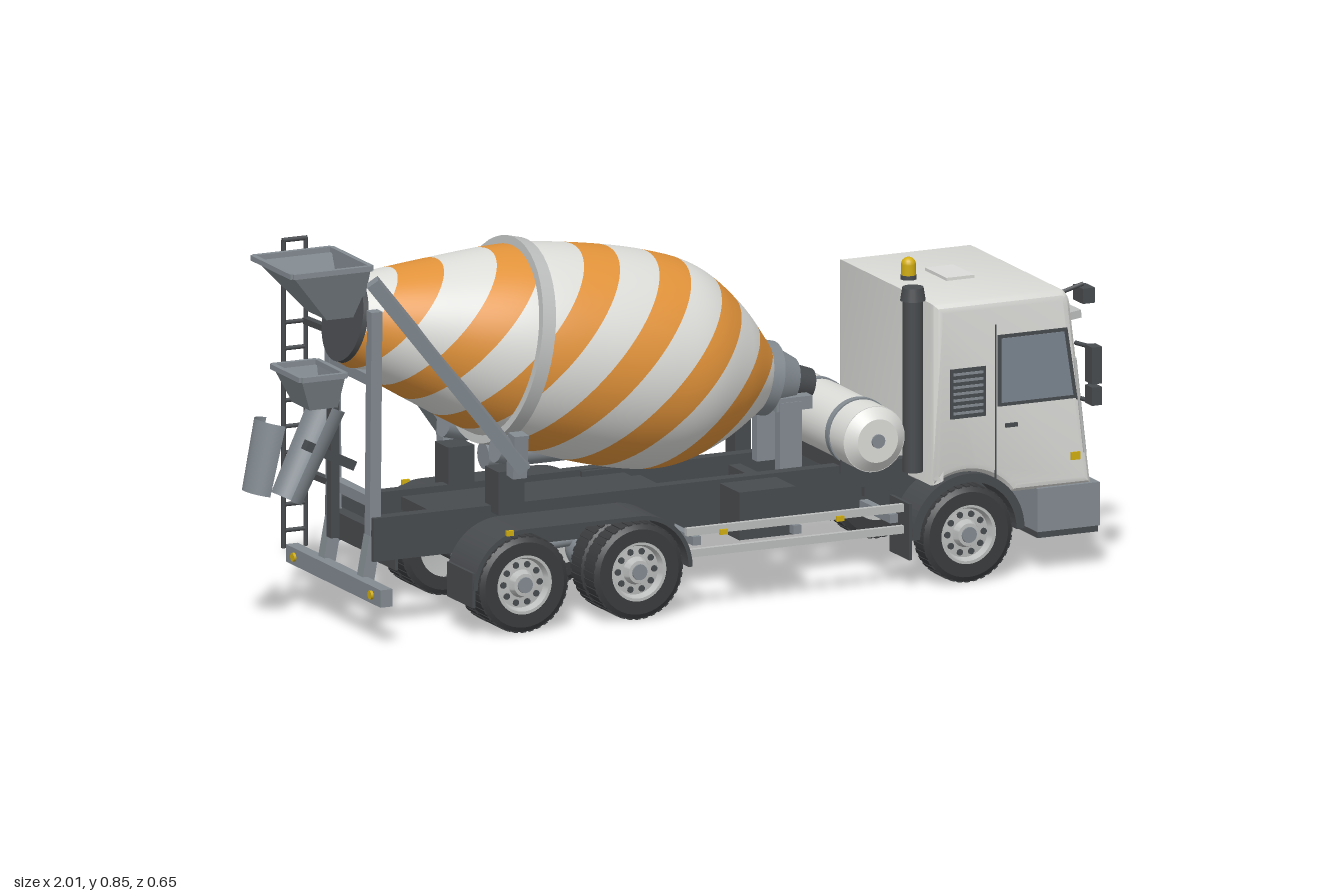
import * as THREE from 'three';
import { mergeGeometries, toCreasedNormals } from 'three/addons/utils/BufferGeometryUtils.js';

const mat = (name, color, side = THREE.FrontSide) => {
  const m = new THREE.MeshStandardMaterial({ color, side });
  m.name = name;
  return m;
};
const V = (x, y, z) => new THREE.Vector3(x, y, z);

export function createModel() {
  const white = mat('white paint', 0xdcdcd9), orange = mat('orange paint', 0xe2933a);
  const tyre = mat('tyre rubber', 0x3a3c3e), dark = mat('dark chassis', 0x484b4e);
  const grey = mat('grey steel', 0x838b91, THREE.DoubleSide), glass = mat('tinted glass', 0x7b8690);
  const yellow = mat('yellow lamp', 0xd2ae10), metal = mat('light metal', 0xbcbebd);
  const root = new THREE.Group();
  root.name = 'concreteMixerTruck';

  const add = (parent, name, geo, m, p = [0, 0, 0]) => {
    const o = new THREE.Mesh(geo, m);
    o.name = name;
    o.position.set(...p);
    parent.add(o);
    return o;
  };
  const box = (name, m, size, p, rz = 0, parent = root) => {
    const o = add(parent, name, new THREE.BoxGeometry(...size), m, p);
    o.rotation.z = rz;
    return o;
  };
  // Round bar between two points, optionally tapered
  const rod = (name, m, a, b, r, r2 = r, seg = 20, parent = root) => {
    const p = V(...a), q = V(...b), d = q.clone().sub(p);
    const o = add(parent, name, new THREE.CylinderGeometry(r2, r, d.length(), seg), m);
    o.position.copy(p).add(q).multiplyScalar(0.5);
    o.quaternion.setFromUnitVectors(V(0, 1, 0), d.normalize());
    return o;
  };
  // Square beam between two points
  const beam = (name, m, a, b, w) => {
    const o = rod(name, m, a, b, w * 0.707, w * 0.707, 4);
    o.geometry.rotateY(Math.PI / 4);
    o.geometry = toCreasedNormals(o.geometry, 0.5);
    return o;
  };
  const extrude = (shape, depth, bevel = 0) => new THREE.ExtrudeGeometry(shape, {
    depth: depth - 2 * bevel, curveSegments: 16, bevelEnabled: bevel > 0, bevelThickness: bevel,
    bevelSize: bevel, bevelOffset: -bevel, bevelSegments: 3,
  }).translate(0, 0, bevel);

  // ---- Wheels ----
  const lathe = (pts) => toCreasedNormals(new THREE.LatheGeometry(pts.map(p => new THREE.Vector2(...p)), 40)
    .rotateX(Math.PI / 2), 0.5);
  const tyreGeo = lathe([[0.068, -0.031], [0.098, -0.031], [0.11, -0.024], [0.11, 0.024], [0.098, 0.031], [0.068, 0.031]]);
  const rimGeo = lathe([[0, -0.02], [0.069, -0.03], [0.069, 0.028], [0.062, 0.028], [0.056, 0.012], [0.032, 0.014], [0.026, 0.032], [0, 0.034]]);
  const wheel = (x, z, side) => {
    const g = new THREE.Group();
    g.name = 'wheel';
    g.position.set(x, 0.11, z * side);
    if (side < 0) g.rotation.y = Math.PI;
    add(g, 'tyre', tyreGeo, tyre);
    add(g, 'rim', rimGeo, metal);
    rod('hub', grey, [0, 0, 0.02], [0, 0, 0.036], 0.02, 0.018, 20, g);
    for (let i = 0; i < 10; i++) {
      const a = i * Math.PI / 5, c = 0.045 * Math.cos(a), s = 0.045 * Math.sin(a);
      rod('rimHole', dark, [c, s, 0.01], [c, s, 0.016], 0.0075, 0.0075, 10, g);
    }
    for (let i = 0; i < 36; i++) { // tread blocks
      const a = i * Math.PI / 18;
      box('treadBlock', tyre, [0.004, 0.011, 0.05], [0.1095 * Math.cos(a), 0.1095 * Math.sin(a), 0], a, g);
    }
    root.add(g);
  };
  for (const s of [1, -1]) {
    for (const x of [-0.44, -0.155, 0.665]) wheel(x, 0.233, s);
    for (const x of [-0.44, -0.155]) wheel(x, 0.166, s);
  }
  for (const x of [-0.44, -0.155, 0.665]) {
    rod('axle', dark, [x, 0.11, -0.22], [x, 0.11, 0.22], 0.022);
    if (x < 0) add(root, 'differential', new THREE.SphereGeometry(0.053, 24, 16), grey, [x, 0.11, 0]);
  }
  rod('driveShaft', grey, [-0.44, 0.12, 0], [0.6, 0.17, 0], 0.014);

  // ---- Chassis, mudguards and side equipment ----
  box('gearbox', dark, [0.3, 0.12, 0.14], [0.72, 0.19, 0]);
  box('rearDeck', dark, [0.55, 0.03, 0.24], [-0.3, 0.235, 0]);
  for (const x of [-0.735, -0.3, 0.0, 0.25, 0.5]) box('crossMember', dark, [0.03, 0.06, 0.2], [x, 0.21, 0]);
  const guard = new THREE.Shape();
  guard.absarc(-0.44, 0.11, 0.13, Math.PI, Math.PI / 2, true);
  guard.absarc(-0.155, 0.11, 0.13, Math.PI / 2, 0, true);
  guard.absarc(-0.155, 0.11, 0.12, 0, Math.PI / 2, false);
  guard.absarc(-0.44, 0.11, 0.12, Math.PI / 2, Math.PI, false);
  const arch = new THREE.Shape();
  arch.absarc(0.665, 0.11, 0.14, Math.PI, 0, true);
  arch.absarc(0.665, 0.11, 0.12, 0, Math.PI, false);
  for (const s of [1, -1]) {
    box('subframeRail', dark, [0.75, 0.1, 0.03], [-0.375, 0.215, 0.11 * s]);
    box('frameRail', dark, [1.0, 0.055, 0.03], [0.37, 0.235, 0.1 * s]);
    box('lowerRail', dark, [0.9, 0.06, 0.025], [0.4, 0.18, 0.07 * s]);
    add(root, 'rearMudguard', extrude(guard, 0.14), dark, [0, 0, s > 0 ? 0.13 : -0.27]);
    add(root, 'frontMudguard', extrude(arch, 0.1), dark, [0, 0, s > 0 ? 0.162 : -0.262]);
    box('mudflap', dark, [0.008, 0.08, 0.13], [-0.567, 0.11, 0.2 * s]);
    box('frontMudflap', dark, [0.008, 0.13, 0.1], [0.522, 0.13, 0.21 * s]);
    for (const y of [0.135, 0.185]) box('sideGuardRail', metal, [0.54, 0.018, 0.012], [0.24, y, 0.245 * s]);
    for (const x of [0.0, 0.25, 0.49]) beam('sideGuardBracket', grey, [x, 0.16, 0.08 * s], [x, 0.16, 0.24 * s], 0.02);
    for (const x of [-0.48, 0.06, 0.35]) box('sideMarker', yellow, [0.018, 0.012, 0.008], [x, x < 0 ? 0.235 : 0.178, (x < 0 ? 0.27 : 0.253) * s]);
  }
  box('batteryBox', dark, [0.14, 0.11, 0.1], [0.185, 0.2, 0.17]);
  box('fuelTank', metal, [0.18, 0.085, 0.11], [0.13, 0.165, -0.175]);
  rod('hydraulicTank', grey, [-0.33, 0.3, -0.18], [-0.05, 0.3, -0.18], 0.031);
  box('pumpUnit', dark, [0.04, 0.15, 0.05], [0.31, 0.31, -0.19]);
  rod('waterTank', white, [0.465, 0.335, -0.19], [0.465, 0.335, 0.19], 0.076, 0.076, 40);
  for (const s of [1, -1]) {
    rod('waterTankEnd', white, [0.465, 0.335, 0.189 * s], [0.465, 0.335, 0.21 * s], 0.076, 0.05, 40);
    rod('waterTankStrap', grey, [0.465, 0.335, 0.1 * s], [0.465, 0.335, 0.118 * s], 0.079, 0.079, 40);
    rod('waterTankCap', grey, [0.465, 0.335, 0.205 * s], [0.465, 0.335, 0.215 * s], 0.016);
  }
  box('waterTankCradle', dark, [0.1, 0.05, 0.24], [0.465, 0.27, 0]);
  rod('exhaustPipe', dark, [0.564, 0.25, 0.185], [0.564, 0.655, 0.185], 0.023);
  rod('exhaustCap', dark, [0.564, 0.645, 0.185], [0.564, 0.675, 0.185], 0.029, 0.024);

  // ---- Cab ----
  const front = y => 0.98 - 0.125 * (y - 0.2), tilt = Math.atan(0.125);
  const cabShape = new THREE.Shape();
  cabShape.moveTo(0.585, 0.225);
  cabShape.lineTo(0.585, 0.645);
  cabShape.lineTo(0.905, 0.645);
  cabShape.quadraticCurveTo(0.928, 0.64, front(0.6), 0.6);
  cabShape.lineTo(0.98, 0.19);
  cabShape.lineTo(0.778, 0.19);
  cabShape.absarc(0.665, 0.11, 0.138, 0.62, 2.18, false);
  add(root, 'cab', toCreasedNormals(extrude(cabShape, 0.506, 0.022), 0.4), white, [0, 0, -0.253]);
  const plate = (name, m, y0, y1, w, lift, z = 0, t = 0.008) => {
    const y = (y0 + y1) / 2;
    return box(name, m, [t, y1 - y0, w], [front(y) + lift, y, z], tilt);
  };
  plate('windscreenFrame', dark, 0.363, 0.575, 0.445, 0.001);
  plate('windscreen', glass, 0.373, 0.557, 0.415, 0.004);
  plate('sunVisor', metal, 0.572, 0.59, 0.47, 0.012, 0, 0.03);
  for (const z of [0.19, 0.063, -0.063, -0.19]) plate('roofMarker', yellow, 0.578, 0.588, 0.018, 0.026, z);
  for (const z of [0.1, -0.115]) plate('wiper', dark, 0.376, 0.381, 0.18, 0.01, z, 0.006).rotation.x = 0.03;
  plate('grille', dark, 0.228, 0.345, 0.36, 0.002);
  for (let i = 0; i < 7; i++) plate('grilleSlat', grey, 0.236 + i * 0.015, 0.245 + i * 0.015, 0.34, 0.007);
  box('roofHatch', white, [0.07, 0.008, 0.11], [0.745, 0.648, 0]);
  rod('beaconBase', dark, [0.642, 0.64, 0], [0.642, 0.655, 0], 0.018);
  rod('beacon', yellow, [0.642, 0.655, 0], [0.642, 0.68, 0], 0.017);
  add(root, 'beaconDome', new THREE.SphereGeometry(0.017, 20, 10), yellow, [0.642, 0.679, 0]);

  // Bumper with lamps and tow hook
  box('bumper', grey, [0.155, 0.1, 0.51], [0.918, 0.145, 0]);
  box('bumperLip', dark, [0.15, 0.022, 0.5], [0.918, 0.091, 0]);
  box('towHookPocket', dark, [0.008, 0.035, 0.052], [0.996, 0.113, 0]);
  box('towPin', metal, [0.012, 0.03, 0.01], [0.996, 0.113, 0]);
  for (const s of [1, -1]) {
    box('headlampPanel', dark, [0.008, 0.042, 0.097], [0.994, 0.164, 0.197 * s]);
    box('indicator', yellow, [0.008, 0.034, 0.02], [0.997, 0.164, 0.232 * s]);
    for (const z of [0.2, 0.168]) rod('headlamp', metal, [0.992, 0.164, z * s], [1, 0.164, z * s], 0.0175);
    rod('fogLamp', metal, [0.99, 0.12, 0.2 * s], [1, 0.12, 0.2 * s], 0.013);
    box('sideLamp', yellow, [0.022, 0.018, 0.008], [0.935, 0.262, 0.253 * s]);
    // Door, side window, vent and handles
    const w = new THREE.Shape([[0.742, 0.395], [0.742, 0.56], [0.915, 0.56], [0.94, 0.395]].map(p => new THREE.Vector2(...p)));
    const g = extrude(w, 0.006);
    add(root, 'sideWindowFrame', g, dark, [0, 0, s > 0 ? 0.249 : -0.255]);
    add(root, 'sideWindow', g.clone().translate(-0.83, -0.478, 0).scale(0.9, 0.9, 1).translate(0.83, 0.478, 0), glass, [0, 0, s > 0 ? 0.251 : -0.257]);
    box('doorGap', dark, [0.003, 0.36, 0.004], [0.737, 0.405, 0.2525 * s]);
    box('doorHandle', dark, [0.03, 0.009, 0.008], [0.775, 0.35, 0.255 * s]);
    box('sideVent', dark, [0.088, 0.115, 0.006], [0.668, 0.435, 0.252 * s]);
    for (let i = 0; i < 7; i++) box('ventSlat', grey, [0.074, 0.006, 0.006], [0.668, 0.39 + i * 0.015, 0.254 * s]);
    rod('grabHandle', metal, [0.955, 0.27, 0.262 * s], [0.93, 0.49, 0.262 * s], 0.004, 0.004, 8);
    // Mirrors
    box('mainMirror', dark, [0.025, 0.085, 0.036], [0.955, 0.483, 0.307 * s]);
    box('wideMirror', dark, [0.025, 0.042, 0.036], [0.955, 0.412, 0.307 * s]);
    for (const y of [0.395, 0.52]) rod('mirrorArm', dark, [0.94, y, 0.245 * s], [0.955, y, 0.3 * s], 0.005, 0.005, 8);
    rod('mirrorBar', dark, [0.955, 0.39, 0.287 * s], [0.955, 0.525, 0.287 * s], 0.004, 0.004, 8);
  }
  box('kerbMirror', dark, [0.03, 0.035, 0.05], [0.978, 0.622, 0.21]);
  rod('kerbMirrorArm', dark, [0.92, 0.63, 0.21], [0.975, 0.645, 0.21], 0.005, 0.005, 8);

  // ---- Drum: slanted colour bands follow parallel inclined planes ----
  const A = 0.232, c = Math.cos(A), sn = Math.sin(A), drum = new THREE.Group();
  drum.name = 'drum';
  drum.position.set(-0.755, 0.7, 0);
  drum.rotation.z = -A;
  root.add(drum);
  const profile = new THREE.SplineCurve([[0, 0.1], [0.19, 0.163], [0.38, 0.219], [0.55, 0.242], [0.72, 0.247], [0.84, 0.229],
    [0.95, 0.168], [1.03, 0.1], [1.055, 0.075]].map(p => new THREE.Vector2(...p)));
  const level = (t, phi) => {
    const p = profile.getPoint(t);
    return -1.455 + p.x * (c + sn) + p.y * Math.sin(phi) * (sn - c);
  };
  const solve = (u, phi) => {
    let lo = 0, hi = 1;
    for (let i = 0; i < 20; i++) {
      const m = (lo + hi) / 2;
      if (level(m, phi) < u) lo = m; else hi = m;
    }
    return (lo + hi) / 2;
  };
  const band = (u0, u1, rows = 8, cols = 80) => {
    const pos = [], nor = [], idx = [];
    for (let j = 0; j <= cols; j++) {
      const phi = j / cols * Math.PI * 2, sp = Math.sin(phi), cp = Math.cos(phi);
      const t0 = solve(u0, phi), t1 = solve(u1, phi);
      for (let i = 0; i <= rows; i++) {
        const t = t0 + (t1 - t0) * i / rows, p = profile.getPoint(t), d = profile.getTangent(t);
        pos.push(p.x, p.y * sp, p.y * cp);
        nor.push(-d.y, d.x * sp, d.x * cp);
        const a = j * (rows + 1) + i, b = a + rows + 1;
        if (j < cols && i < rows) idx.push(a, a + 1, b + 1, a, b + 1, b);
      }
    }
    const g = new THREE.BufferGeometry();
    g.setAttribute('position', new THREE.Float32BufferAttribute(pos, 3));
    g.setAttribute('normal', new THREE.Float32BufferAttribute(nor, 3));
    return g.setIndex(idx);
  };
  const oranges = [], whites = [];
  for (let k = -3; k <= 4; k++) {
    const u = -0.957 + 0.22 * k;
    oranges.push(band(u - 0.051, u + 0.051));
    whites.push(band(u + 0.051, u + 0.169));
  }
  add(drum, 'drumOrangeBands', mergeGeometries(oranges), orange);
  add(drum, 'drumWhiteBands', mergeGeometries(whites), white);
  const onAxis = (name, m, a, b, r, r2) => rod(name, m, [a, 0, 0], [b, 0, 0], r, r2, 48, drum);
  onAxis('drumMouth', dark, -0.012, 0.004, 0.098, 0.1);
  onAxis('rollerRing', metal, 0.372, 0.405, 0.236, 0.236);
  onAxis('drumFlange', grey, 1.04, 1.075, 0.085, 0.085);
  onAxis('drumCone', grey, 1.075, 1.13, 0.075, 0.055);
  onAxis('drumGearbox', dark, 1.13, 1.18, 0.042, 0.036);
  const h = Math.PI + 0.35;
  rod('drumHatch', metal, [0.72, 0.235 * Math.sin(h), 0.235 * Math.cos(h)], [0.72, 0.256 * Math.sin(h), 0.256 * Math.cos(h)], 0.045, 0.045, 28, drum);

  // ---- Drum supports ----
  box('frontPedestalTop', grey, [0.09, 0.03, 0.14], [0.325, 0.405, 0]);
  for (const s of [1, -1]) {
    box('frontPedestalPost', grey, [0.055, 0.16, 0.025], [0.315, 0.33, 0.06 * s]);
    box('rollerPedestal', dark, [0.065, 0.1, 0.07], [-0.425, 0.3, 0.13 * s]);
    rod('supportRoller', grey, [-0.45, 0.4, 0.135 * s], [-0.39, 0.385, 0.135 * s], 0.034);
    beam('rollerBracket', grey, [-0.42, 0.34, 0.18 * s], [-0.42, 0.44, 0.19 * s], 0.035);
    beam('diagonalStrut', grey, [-0.75, 0.81, 0.12 * s], [-0.41, 0.36, 0.2 * s], 0.03);
    beam('rearPost', grey, [-0.74, 0.2, 0.1 * s], [-0.74, 0.74, 0.11 * s], 0.027);
    beam('underrunBracket', grey, [-0.76, 0.11, 0.1 * s], [-0.74, 0.22, 0.1 * s], 0.03);
    rod('tailLamp', yellow, [-0.79, 0.11, 0.2 * s], [-0.796, 0.11, 0.2 * s], 0.01);
  }
  for (const y of [0.3, 0.58]) box('rearCrossbar', grey, [0.025, 0.025, 0.22], [-0.74, y, 0]);
  box('underrunBar', grey, [0.03, 0.04, 0.49], [-0.775, 0.11, 0]);

  // ---- Hopper, chute and ladder ----
  const funnel = (name, top, bottom) => { // each level: x0, x1, half width, y
    const ring = ([x0, x1, w, y]) => [[x0, y, -w], [x0, y, w], [x1, y, w], [x1, y, -w]];
    const t = ring(top), b = ring(bottom), pos = [];
    for (let i = 0; i < 4; i++) {
      const j = (i + 1) % 4;
      pos.push(...b[i], ...b[j], ...t[j], ...b[i], ...t[j], ...t[i]);
    }
    const g = new THREE.BufferGeometry();
    g.setAttribute('position', new THREE.Float32BufferAttribute(pos, 3));
    g.computeVertexNormals();
    add(root, name, g, grey);
    t.forEach((p, i) => beam(name + 'Rim', grey, p, t[(i + 1) % 4], 0.012));
  };
  funnel('hopper', [-0.94, -0.745, 0.103, 0.838], [-0.83, -0.745, 0.05, 0.715]);
  funnel('chuteFunnel', [-0.905, -0.795, 0.075, 0.59], [-0.87, -0.8, 0.045, 0.51]);
  const chute = (name, r0, r1, len, start, p, rz) => {
    add(root, name, new THREE.CylinderGeometry(r0, r1, len, 20, 1, true, start, Math.PI), grey, p).rotation.z = rz;
  };
  chute('upperChute', 0.058, 0.05, 0.23, 0, [-0.87, 0.41, 0], -0.45);
  chute('foldedChute', 0.05, 0.045, 0.165, Math.PI, [-0.95, 0.4, 0], -0.22);
  beam('chuteArm', dark, [-0.74, 0.36, 0], [-0.86, 0.42, 0], 0.022);
  beam('chutePivot', dark, [-0.79, 0.2, 0], [-0.79, 0.52, 0], 0.022);
  for (const x of [-0.81, -0.755]) rod('ladderRail', dark, [x, 0.13, -0.215], [x, 0.84, -0.215], 0.0055, 0.0055, 8);
  for (let i = 0; i < 9; i++) rod('ladderRung', dark, [-0.81, 0.17 + i * 0.06, -0.215], [-0.755, 0.17 + i * 0.06, -0.215], 0.005, 0.005, 8);
  rod('ladderHoop', dark, [-0.813, 0.84, -0.215], [-0.752, 0.84, -0.215], 0.0055, 0.0055, 8);
  for (const y of [0.3, 0.65]) beam('ladderBracket', dark, [-0.745, y, -0.1], [-0.755, y, -0.215], 0.015);
  return root;
}
